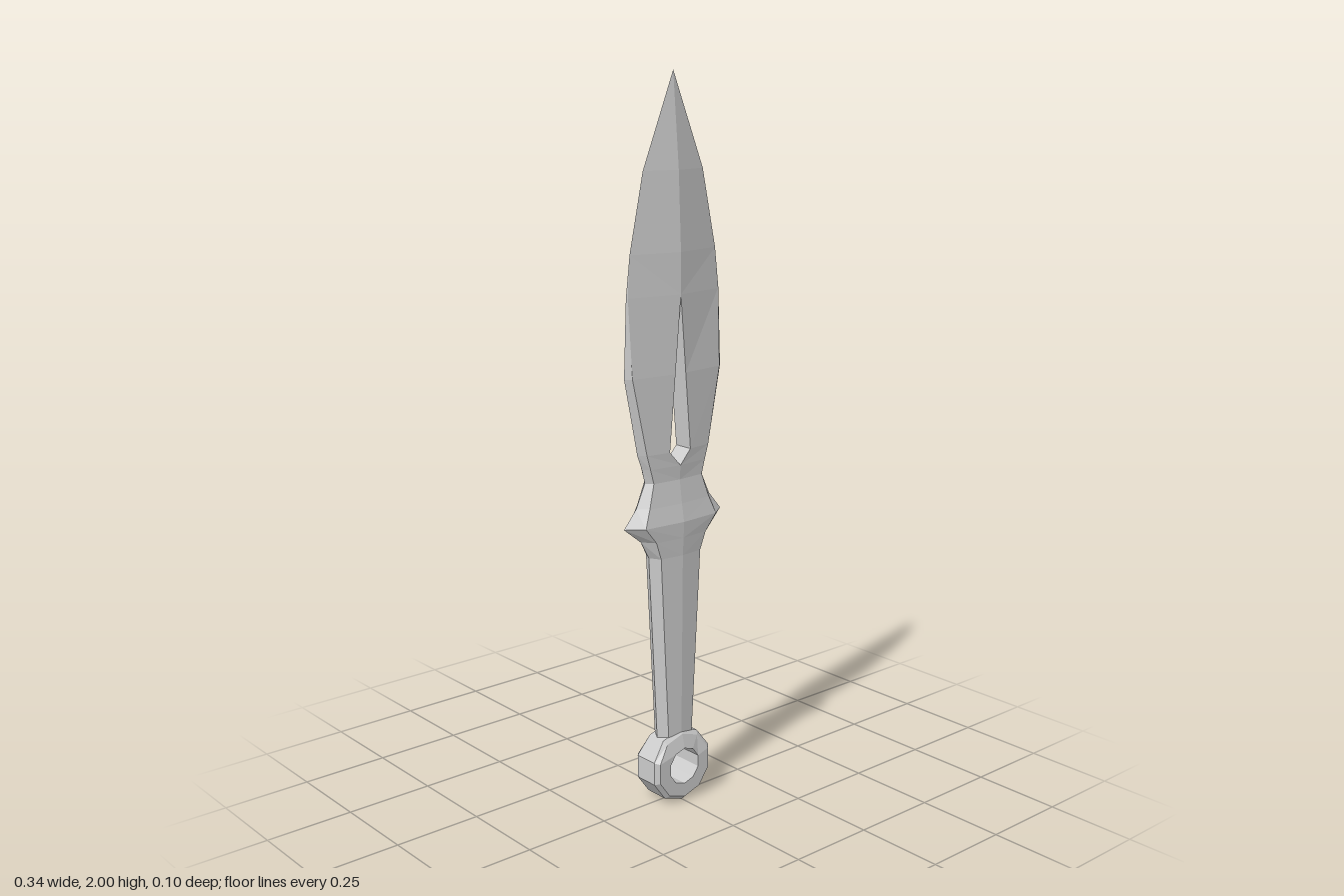
import * as THREE from 'three';

const material = new THREE.MeshStandardMaterial({ color: 0xcccccc, flatShading: true });

// Loft of a four-way symmetric section.
// Row: [y, slot half width, bevel x, edge x, ridge z, bevel z]
function loft(name, rows) {
  const pos = [];
  const sections = rows.map(([y, s, b, w, zc, zb]) =>
    [[s, 0], [s, zc], [b, zb], [w, 0]].map(([x, z]) => new THREE.Vector3(x, y, z)));
  const tri = (pts, mx, mz) => {
    const area = new THREE.Triangle(...pts).getArea();
    if (area < 1e-7) return;
    const order = mx * mz < 0 ? [0, 2, 1] : [0, 1, 2];
    for (const i of order) pos.push(pts[i].x * mx, pts[i].y, pts[i].z * mz);
  };
  for (let i = 0; i < rows.length - 1; i++) {
    const lo = sections[i], hi = sections[i + 1];
    const slotted = rows[i][1] > 0 || rows[i + 1][1] > 0;
    for (let k = slotted ? 0 : 1; k < 3; k++) {
      for (const mx of [1, -1]) for (const mz of [1, -1]) {
        tri([lo[k], lo[k + 1], hi[k + 1]], mx, mz);
        tri([lo[k], hi[k + 1], hi[k]], mx, mz);
      }
    }
  }
  const geo = new THREE.BufferGeometry();
  geo.setAttribute('position', new THREE.Float32BufferAttribute(pos, 3));
  geo.computeVertexNormals();
  const mesh = new THREE.Mesh(geo, material);
  mesh.name = name;
  return mesh;
}

// Ten-sided pommel ring with bevelled rim, thinner where it meets the handle
function pommelRing() {
  const profile = [
    [0.053, -0.049], [0.093, -0.049], [0.105, -0.036], [0.105, 0.036],
    [0.093, 0.049], [0.053, 0.049], [0.053, -0.049],
  ].map(([r, h]) => new THREE.Vector2(r, h));
  const geo = new THREE.LatheGeometry(profile, 10).rotateX(Math.PI / 2).translate(0, 0.105, 0);
  const p = geo.attributes.position;
  for (let i = 0; i < p.count; i++) if (p.getY(i) > 0.17) p.setZ(i, p.getZ(i) * 0.8);
  geo.computeVertexNormals();
  const mesh = new THREE.Mesh(geo, material);
  mesh.name = 'pommelRing';
  return mesh;
}

export function createModel() {
  const group = new THREE.Group();
  group.name = 'dagger';

  // Leaf-shaped blade with a teardrop slot
  group.add(loft('blade', [
    [0.93, 0, 0.085, 0.10, 0.027, 0.02],
    [0.97, 0, 0.096, 0.11, 0.03, 0.02],
    [1.01, 0.036, 0.108, 0.125, 0.029, 0.02],
    [1.22, 0.018, 0.152, 0.168, 0.03, 0.015],
    [1.43, 0, 0.156, 0.16, 0.031, 0.003],
    [1.54, 0, 0.147, 0.147, 0.031, 0],
    [1.75, 0, 0.102, 0.102, 0.022, 0],
    [2.0, 0, 0, 0, 0, 0],
  ]));

  // Flared guard with pointed ends
  group.add(loft('guard', [
    [0.72, 0, 0.07, 0.087, 0.04, 0.032],
    [0.77, 0, 0.088, 0.115, 0.043, 0.034],
    [0.815, 0, 0.125, 0.172, 0.045, 0.035],
    [0.865, 0, 0.105, 0.13, 0.036, 0.027],
    [0.93, 0, 0.085, 0.10, 0.027, 0.02],
  ]));

  // Tapered six-sided grip with a slight central ridge
  group.add(loft('handle', [
    [0.17, 0, 0.041, 0.058, 0.035, 0.03],
    [0.72, 0, 0.07, 0.087, 0.04, 0.032],
  ]));

  group.add(pommelRing());
  return group;
}
